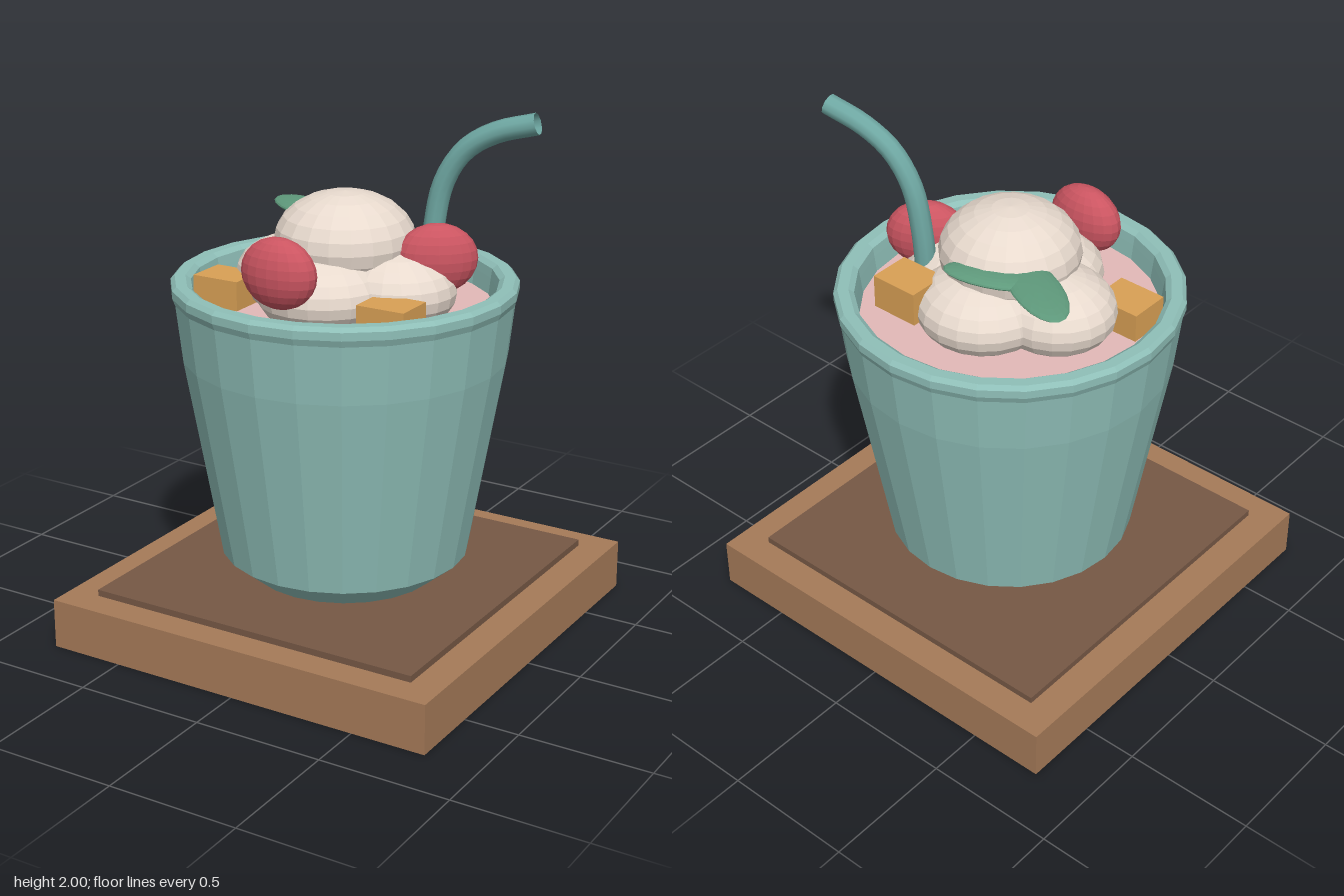
import * as THREE from 'three';

const mat = (color, extra = {}) => new THREE.MeshStandardMaterial({ color, flatShading: true, ...extra });
const teal = mat(0x8fbfb8, { side: THREE.DoubleSide });
const straw = mat(0x6fa8a3, { side: THREE.DoubleSide, flatShading: false });
const wood = mat(0xa57a58);
const darkWood = mat(0x765845);
const pink = mat(0xe3b9b8);
const cream = mat(0xe8dace);
const red = mat(0xcb5561);
const gold = mat(0xd9a055);
const green = mat(0x5f9a7c);

export function createModel() {
  const model = new THREE.Group();

  const add = (name, geometry, material, x, y, z, turn = 0) => {
    const mesh = new THREE.Mesh(geometry, material);
    mesh.name = name;
    mesh.position.set(x, y, z);
    mesh.rotation.y = turn;
    model.add(mesh);
    return mesh;
  };
  // Ellipsoid with its poles along y
  const blob = (name, material, [x, y, z], [rx, ry, rz], turn = 0) =>
    add(name, new THREE.SphereGeometry(1, 20, 12).scale(rx, ry, rz), material, x, y, z, turn);

  // Wooden board with a thin dark mat
  add('board', new THREE.BoxGeometry(1.58, 0.19, 1.58), wood, 0, 0.095, 0);
  add('mat', new THREE.BoxGeometry(1.34, 0.03, 1.35), darkWood, 0, 0.2, 0);

  // Cup wall with rolled rim and inner wall
  const profile = [
    [0, 0.22], [0.36, 0.22], [0.47, 0.31], [0.605, 1.08], [0.63, 1.3],
    [0.64, 1.325], [0.64, 1.355], [0.625, 1.37], [0.585, 1.37],
    [0.565, 1.355], [0.56, 1.32], [0.545, 1.2], [0, 1.2],
  ].map(([r, y]) => new THREE.Vector2(r, y));
  add('cup', new THREE.LatheGeometry(profile, 24), teal, 0, 0, 0);

  // Drink surface
  add('drink', new THREE.CylinderGeometry(0.55, 0.54, 0.06, 24), pink, 0, 1.23, 0);

  // Ice cream: four lower scoops and one on top
  for (const side of [-1, 1]) {
    blob('sideScoop', cream, [side * 0.2, 1.35, 0], [0.24, 0.15, 0.22]);
    blob('frontBackScoop', cream, [0, 1.35, side * 0.145], [0.25, 0.15, 0.25]);
  }
  blob('topScoop', cream, [0, 1.51, 0], [0.26, 0.18, 0.26]);

  // Berries
  blob('berry', red, [-0.035, 1.47, 0.39], [0.15, 0.13, 0.083]);
  blob('berry', red, [0.345, 1.47, -0.065], [0.15, 0.13, 0.083], 0.6);

  // Crunchy cubes
  for (const [x, top, z] of [[-0.385, 1.37, 0.2], [0.335, 1.38, 0.245], [0.223, 1.45, -0.297]]) {
    add('cube', new THREE.BoxGeometry(0.19, 0.13, 0.16), gold, x, top - 0.065, z);
  }

  // Mint leaves
  blob('leaf', green, [-0.27, 1.55, -0.18], [0.21, 0.02, 0.09], -0.5);
  blob('leaf', green, [-0.1, 1.55, -0.22], [0.18, 0.02, 0.07], 0.35);

  // Bent open straw
  const path = new THREE.CatmullRomCurve3([
    [0.27, 1.22, -0.145], [0.28, 1.55, -0.16], [0.315, 1.73, -0.17],
    [0.39, 1.85, -0.185], [0.5, 1.92, -0.205], [0.65, 1.963, -0.23],
  ].map((p) => new THREE.Vector3(...p)));
  add('straw', new THREE.TubeGeometry(path, 24, 0.04, 10), straw, 0, 0, 0);

  return model;
}
